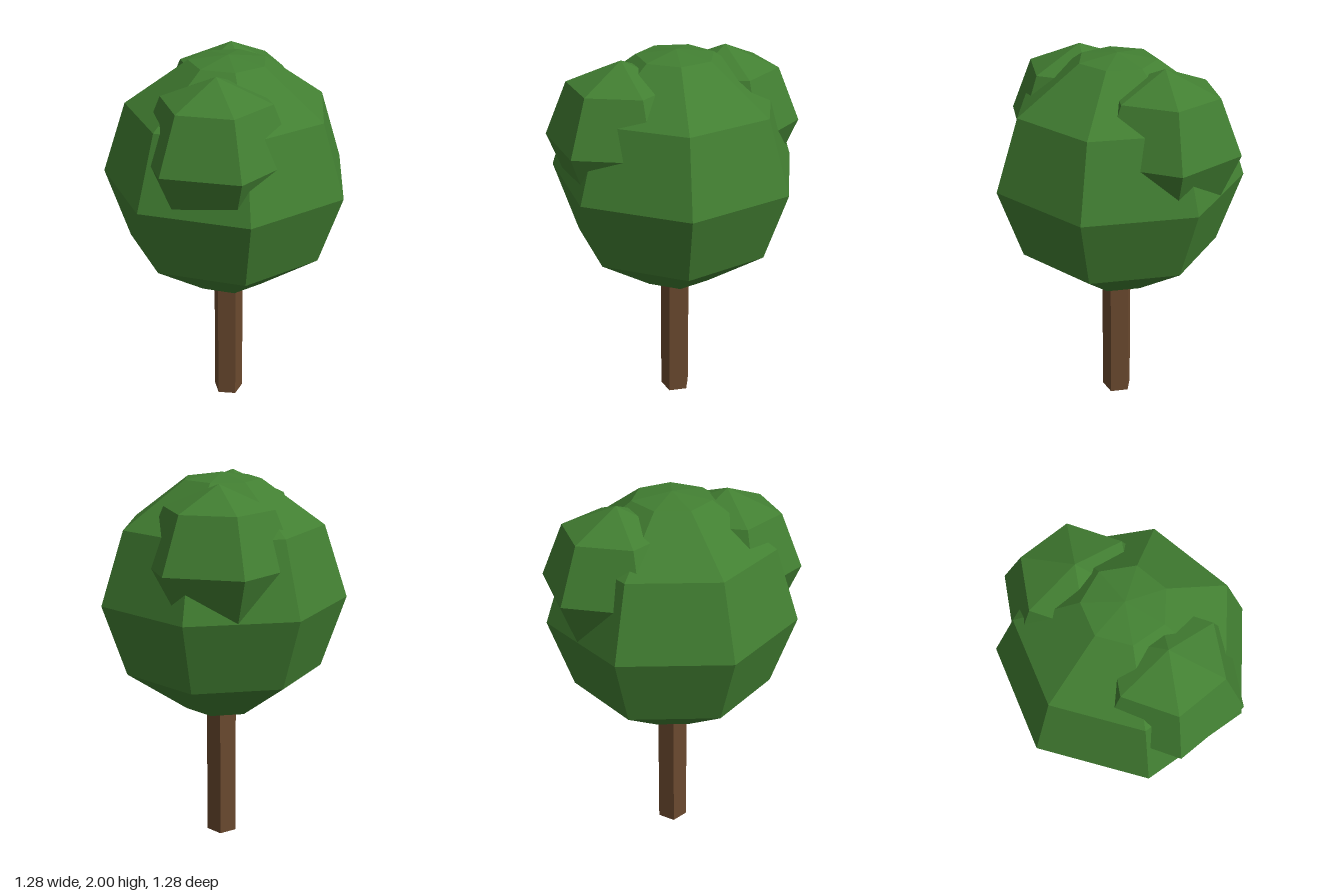
import * as THREE from 'three';

const leafGreen = new THREE.MeshStandardMaterial({ name: 'leafGreen', color: 0x427f32 });
const barkBrown = new THREE.MeshStandardMaterial({ name: 'barkBrown', color: 0x6b4a2f });

// Split the faces so that each one gets its own flat normal
function faceted(geometry) {
  const flat = geometry.toNonIndexed();
  flat.computeVertexNormals();
  return flat;
}

// Ball of leaves turned from rings at the given latitudes, with a corner facing +z
function leafBall(name, radius, height, sides, latitudes, position) {
  const profile = latitudes.map((degrees) => {
    const a = THREE.MathUtils.degToRad(degrees);
    return new THREE.Vector2(Math.max(0, radius * Math.cos(a)), height * Math.sin(a));
  });
  const mesh = new THREE.Mesh(faceted(new THREE.LatheGeometry(profile, sides)), leafGreen);
  mesh.name = name;
  mesh.position.set(...position);
  return mesh;
}

export function createModel() {
  const tree = new THREE.Group();
  tree.name = 'tree';

  // Five-sided trunk, reaching a little way into the crown
  const trunk = new THREE.Mesh(faceted(new THREE.CylinderGeometry(0.083, 0.083, 0.8, 5)), barkBrown);
  trunk.name = 'trunk';
  trunk.position.set(0, 0.4, -0.015);
  tree.add(trunk);

  // Main seven-sided crown
  tree.add(leafBall('crown', 0.655, 0.642, 7, [-90, -72, -36, 0, 36, 72, 90], [0, 1.357, -0.015]));

  // Two smaller six-sided clumps bulging from the crown
  const clumpLatitudes = [-90, -45, 0, 45, 90];
  tree.add(leafBall('frontClump', 0.393, 0.393, 6, clumpLatitudes, [0.15, 1.585, 0.238]));
  tree.add(leafBall('backClump', 0.393, 0.393, 6, clumpLatitudes, [-0.19, 1.585, -0.247]));

  return tree;
}
